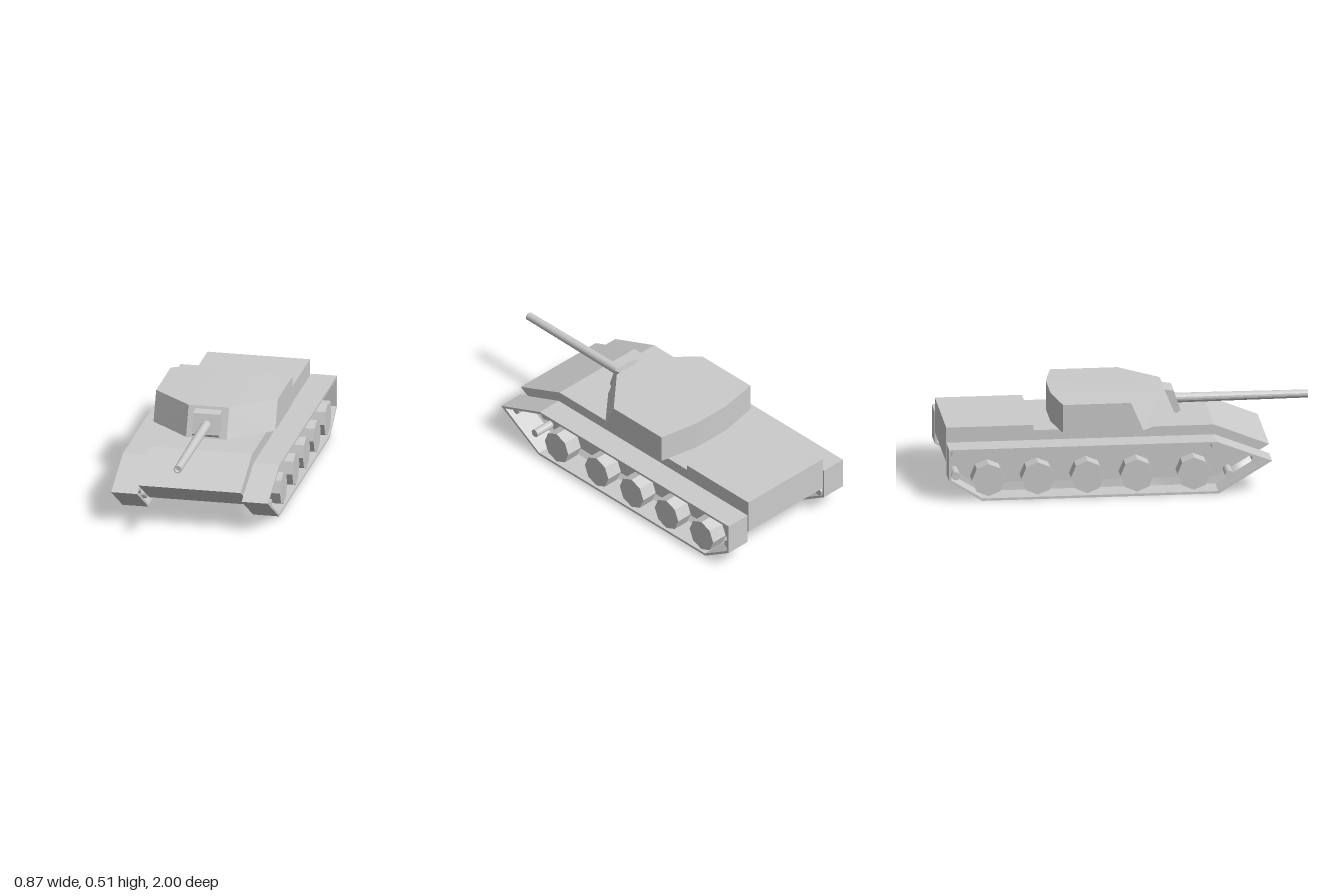
import * as THREE from 'three';
import { ConvexGeometry } from 'three/addons/geometries/ConvexGeometry.js';

const material = new THREE.MeshStandardMaterial({ color: 0xcccccc, flatShading: true });

const toPoints = (list) => list.map(([a, b]) => new THREE.Vector2(a, b));

function addMesh(parent, geometry, name) {
  const mesh = new THREE.Mesh(geometry, material);
  mesh.name = name;
  parent.add(mesh);
  return mesh;
}

// Side profile of (z, y) points, extruded across the width from x0 to x1
function sideExtrude(profile, x0, x1, hole) {
  const shape = new THREE.Shape(toPoints(profile));
  if (hole) shape.holes.push(new THREE.Path(toPoints(hole)));
  return new THREE.ExtrudeGeometry(shape, { depth: x1 - x0, bevelEnabled: false })
    .rotateY(-Math.PI / 2)
    .translate(x1, 0, 0);
}

// Cylinder lying along x
function axle(radius, sides, x0, x1, y, z) {
  return new THREE.CylinderGeometry(radius, radius, x1 - x0, sides)
    .rotateZ(Math.PI / 2)
    .translate((x0 + x1) / 2, y, z);
}

export function createModel() {
  const model = new THREE.Group();
  model.name = 'tank';

  // Hull with sloped nose, raised engine deck and chamfered tail
  addMesh(model, sideExtrude([
    [0.76, 0.225], [0.46, 0.345], [-0.525, 0.345], [-0.525, 0.375],
    [-1, 0.375], [-1, 0.18], [-0.85, 0.055], [0.47, 0.055],
  ], -0.284, 0.284), 'hull');

  // Running gear, one group per side
  const outer = [[0.76, 0.175], [0.46, 0.292], [-1, 0.292], [-1, 0.113], [-0.82, 0], [0.47, 0]];
  const inner = [[0.728, 0.174], [0.457, 0.279], [-0.988, 0.279], [-0.988, 0.12], [-0.816, 0.013], [0.466, 0.013]];
  const wheelZ = [0.335, 0.025, -0.245, -0.515, -0.785];
  const rollers = [[0.455, 0.253], [0.675, 0.175], [0.53, 0.095], [-0.96, 0.25], [-0.96, 0.135]];
  for (const side of [1, -1]) {
    const gear = new THREE.Group();
    gear.name = side > 0 ? 'leftRunningGear' : 'rightRunningGear';
    const span = (a, b) => (side > 0 ? [a, b] : [-b, -a]);

    addMesh(gear, sideExtrude(outer, ...span(0.29, 0.434), inner), 'track');
    for (const z of wheelZ) addMesh(gear, axle(0.091, 8, ...span(0.335, 0.43), 0.115, z), 'roadWheel');
    for (const [z, y] of rollers) addMesh(gear, axle(0.023, 12, ...span(0.284, 0.405), y, z), 'roller');
    model.add(gear);
  }

  // Turret: eight-sided, front faces leaning back, roof slightly crowned
  const turret = new THREE.Group();
  turret.name = 'turret';
  turret.position.x = -0.0125;
  model.add(turret);
  const corners = [];
  for (const s of [1, -1]) {
    for (const [x, zBottom, zTop, yTop] of [
      [0.1125, 0.272, 0.205, 0.507],
      [0.3375, 0.068, 0.0, 0.502],
      [0.3375, -0.37, -0.37, 0.502],
      [0.1125, -0.415, -0.415, 0.507],
    ]) {
      corners.push(new THREE.Vector3(s * x, 0.344, zBottom), new THREE.Vector3(s * x, yTop, zTop));
    }
  }
  addMesh(turret, new ConvexGeometry(corners), 'turretBody');

  // Gun mantlet following the slope of the turret front
  addMesh(turret, sideExtrude([
    [0.298, 0.375], [0.262, 0.483], [0.208, 0.493], [0.262, 0.36], [0.285, 0.36],
  ], -0.074, 0.074), 'mantlet');

  // Gun barrel, slightly tapered, with a shallow bore
  const barrel = new THREE.LatheGeometry(
    toPoints([[0, 0.25], [0.027, 0.25], [0.022, 1], [0.016, 1], [0.016, 0.97], [0, 0.97]]), 16);
  addMesh(turret, barrel.rotateX(Math.PI / 2).translate(0, 0.422, 0), 'gunBarrel');

  return model;
}
